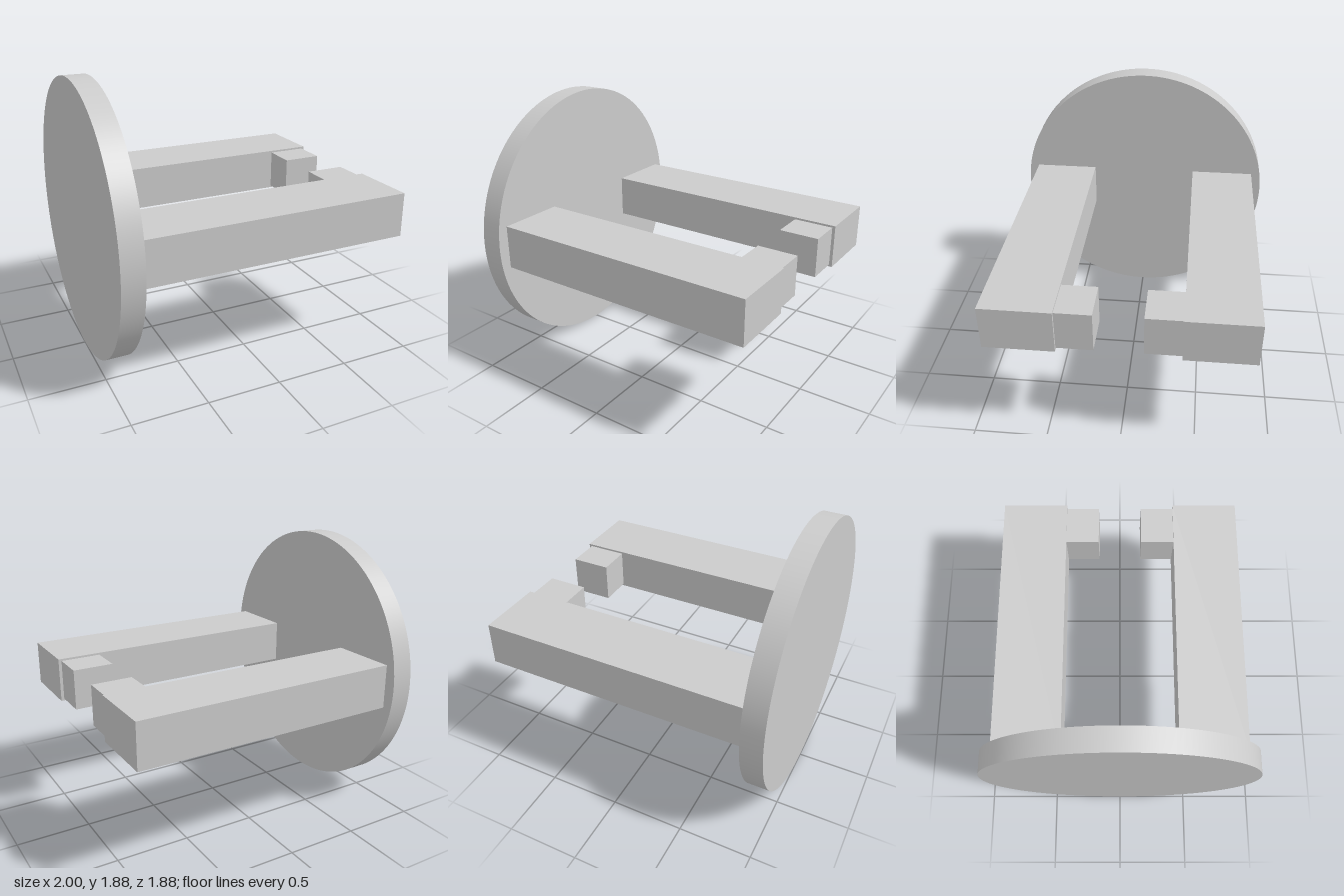
import * as THREE from 'three';

const R = 0.9375; // disc radius, also the height of the centre line

export function createModel() {
  const model = new THREE.Group();
  const material = new THREE.MeshStandardMaterial({ color: 0xcccccc });

  const add = (name, geometry, x, z) => {
    const mesh = new THREE.Mesh(geometry, material);
    mesh.name = name;
    mesh.position.set(x, R, z);
    model.add(mesh);
  };

  // Round mounting plate, axis along x
  const plate = new THREE.CylinderGeometry(R, R, 0.15, 128).rotateZ(Math.PI / 2);
  add('mountingPlate', plate, -0.925, 0);

  // Two mirrored gripper arms, each with a pad on its inner face near the tip
  for (const [side, s] of [['front', 1], ['back', -1]]) {
    add(side + 'Arm', new THREE.BoxGeometry(1.85, 0.306, 0.465), 0.075, s * 0.6255);
    add(side + 'GripPad', new THREE.BoxGeometry(0.278, 0.278, 0.237), 0.84, s * 0.2745);
  }

  return model;
}
